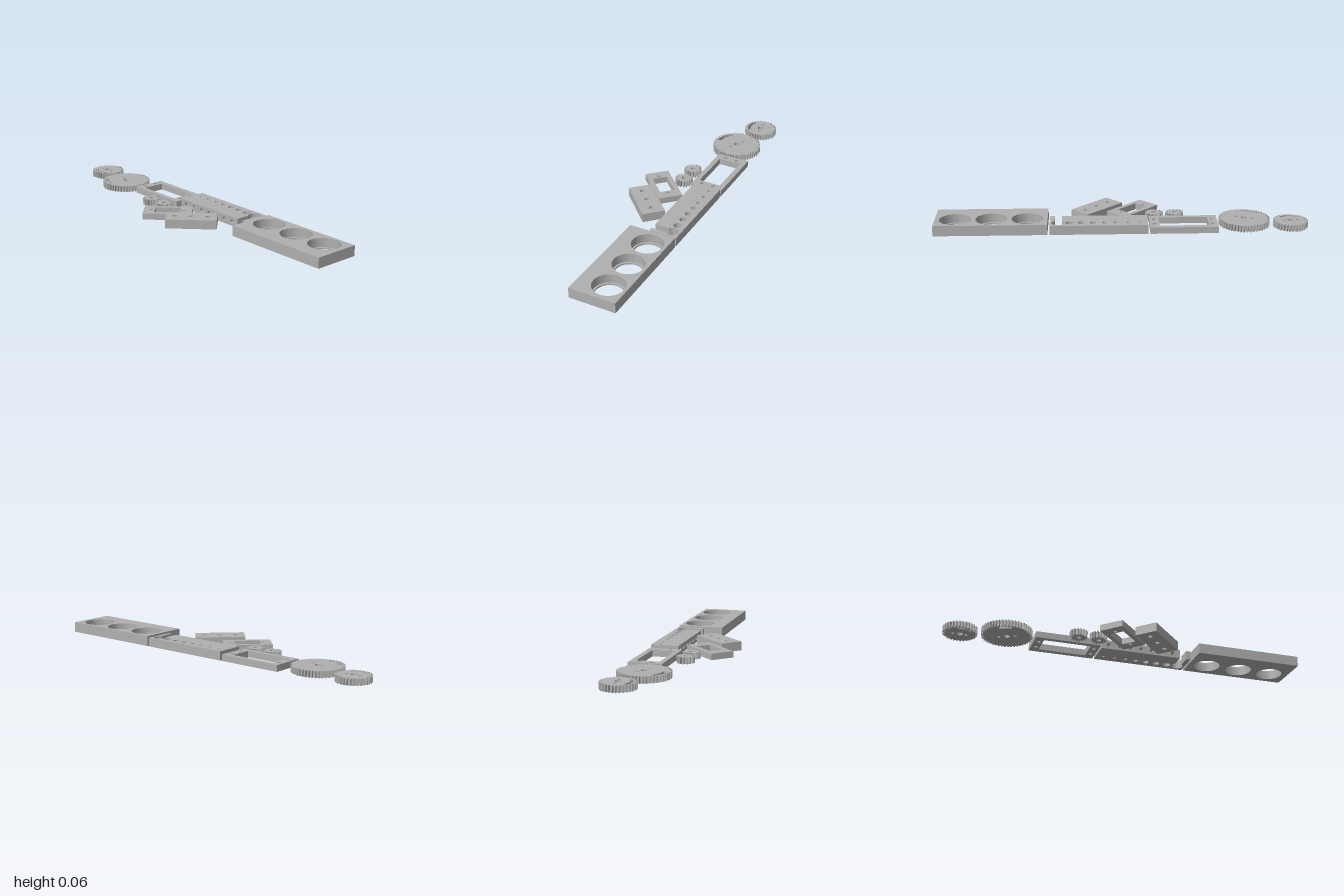
import * as THREE from 'three';
import { toCreasedNormals } from 'three/addons/utils/BufferGeometryUtils.js';

const grey = new THREE.MeshStandardMaterial({ color: 0xb0b0b0 });
grey.name = 'plainGrey';

const THIN = 0.035;
const THICK = 0.05;

function polygon(points) {
  return new THREE.Shape(points.map(([x, y]) => new THREE.Vector2(x, y)));
}
function rect(x0, y0, x1, y1) {
  return polygon([[x0, y0], [x1, y0], [x1, y1], [x0, y1]]);
}
function circle(x, y, r) {
  const p = new THREE.Path();
  p.absarc(x, y, r, 0, Math.PI * 2, true);
  return p;
}
// Curved slot between two radii and two angles in degrees
function arcSlot(r0, r1, a0, a1) {
  const p = new THREE.Path();
  const s = THREE.MathUtils.degToRad(a0), e = THREE.MathUtils.degToRad(a1);
  p.absarc(0, 0, r1, s, e, false);
  p.absarc(0, 0, r0, e, s, true);
  p.closePath();
  return p;
}
function extrude(shape, depth, holes = []) {
  shape.holes.push(...holes);
  const g = new THREE.ExtrudeGeometry(shape, { depth, bevelEnabled: false, curveSegments: 20 });
  return toCreasedNormals(g, 0.5);
}
// Flat slab whose shape y axis points to the back (-z)
function slab(name, shape, y, height, holes) {
  const g = extrude(shape, height, holes).rotateX(-Math.PI / 2).translate(0, y, 0);
  const m = new THREE.Mesh(g, grey);
  m.name = name;
  return m;
}
function gearShape(r, teeth, depth) {
  const pts = [];
  for (let i = 0; i < teeth; i++) {
    for (const [t, rad] of [[-0.32, r - depth], [-0.14, r], [0.14, r], [0.32, r - depth]]) {
      const a = ((i + t) / teeth) * Math.PI * 2;
      pts.push([Math.cos(a) * rad, Math.sin(a) * rad]);
    }
  }
  return polygon(pts);
}

// Wheel with a hub bore, two pin holes and a slot that is stepped in depth
function slottedGear(name, x, z, r, teeth, pins, slotTop, slotBottom) {
  const gear = new THREE.Group();
  gear.name = name;
  const holes = () => [circle(0, 0, 0.017), ...pins.map(([px, py]) => circle(px, py, 0.009))];
  gear.add(
    slab(name + 'Lower', gearShape(r, teeth, 0.012), 0, THIN / 2, [...holes(), arcSlot(...slotBottom)]),
    slab(name + 'Upper', gearShape(r, teeth, 0.012), THIN / 2, THIN / 2, [...holes(), arcSlot(...slotTop)]),
  );
  gear.position.set(x, 0, z);
  return gear;
}

// Bar with graded bores, a split clamp at its right end and cross bores in front
function clampBar() {
  const bar = new THREE.Group();
  bar.name = 'clampBar';
  const front = 0.075, mid = 0.145, back = 0.23, rowY = 0.184;
  const cx = 0.342, r = 0.034, slotL = 0.322, slotR = 0.361, right = 0.386;

  const body = new THREE.Shape();
  body.moveTo(-0.135, mid);
  body.lineTo(slotL, mid);
  const a0 = Math.acos((slotL - cx) / r), a1 = Math.acos((slotR - cx) / r);
  body.absarc(cx, rowY, r, -a0, -a1, true);
  body.lineTo(slotR, front);
  body.lineTo(right, front);
  body.lineTo(right, back);
  body.lineTo(-0.135, back);
  body.closePath();

  const xs = [-0.094, -0.03, 0.035, 0.094, 0.155, 0.217, 0.28];
  const radii = [0.008, 0.01, 0.011, 0.014, 0.018, 0.019, 0.022];
  bar.add(slab('clampBody', body, 0, THICK, xs.map((x, i) => circle(x, rowY, radii[i]))));

  const bores = xs.map((x) => circle(x, THICK / 2, 0.011));
  const strip = new THREE.Mesh(extrude(rect(-0.135, 0, slotL, THICK), mid - front, bores), grey);
  strip.name = 'crossBoredStrip';
  strip.position.z = -mid;
  bar.add(strip);
  return bar;
}

// Block with three stepped round pockets
function pocketBlock() {
  const block = new THREE.Group();
  block.name = 'pocketBlock';
  const lip = 0.008, height = 0.057;
  const holes = (r) => [0.505, 0.698, 0.89].map((x) => circle(x, 0.13, r));
  block.add(
    slab('pocketLip', rect(0.398, -0.03, 1, 0.23), 0, lip, holes(0.074)),
    slab('pocketWalls', rect(0.398, -0.03, 1, 0.23), lip, height - lip, holes(0.085)),
  );
  return block;
}

export function createModel() {
  const model = new THREE.Group();
  model.name = 'gearPartsSet';

  // Large toothed wheels
  model.add(
    slottedGear('mediumGear', -0.907, -0.136, 0.093, 32, [[-0.039, 0], [0.034, 0.006]],
      [0.058, 0.076, 225, 315], [0.062, 0.076, 255, 315]),
    slottedGear('largeGear', -0.662, -0.09, 0.138, 48, [[-0.04, 0.019], [0.04, -0.019]],
      [0.1, 0.122, 218, 272], [0.1, 0.122, 236, 272]),
  );

  // Pinions
  for (const [x, name] of [[-0.291, 'leftPinion'], [-0.179, 'rightPinion']]) {
    const pinion = slab(name, gearShape(0.049, 16, 0.014), 0, THIN, [circle(0, 0, 0.013)]);
    pinion.position.set(x, 0, 0.013);
    model.add(pinion);
  }

  // Long window frame with four corner holes
  const frameHoles = [rect(-0.46, 0.075, -0.198, 0.2)];
  for (const x of [-0.484, -0.174]) {
    for (const y of [0.104, 0.172]) frameHoles.push(circle(x, y, 0.011));
  }
  model.add(slab('windowFrame', rect(-0.51, 0.048, -0.147, 0.23), 0, THIN, frameHoles));

  model.add(clampBar(), pocketBlock());

  // Small frame and drilled block, turned by 45 degrees
  const smallFrame = slab('smallFrame', rect(-0.133, -0.067, 0.133, 0.067), 0, THIN,
    [rect(-0.071, -0.041, 0.071, 0.041), circle(-0.088, 0, 0.01), circle(0.088, 0, 0.01)]);
  smallFrame.position.set(-0.064, 0, 0.082);
  smallFrame.rotation.y = Math.PI / 4;

  const drilledBlock = slab('drilledBlock', rect(-0.137, -0.062, 0.137, 0.062), 0, THICK,
    [-0.087, 0, 0.087].map((x) => circle(x, 0, 0.013)));
  drilledBlock.position.set(0.132, 0, 0.081);
  drilledBlock.rotation.y = Math.PI / 4;
  model.add(smallFrame, drilledBlock);

  return model;
}
